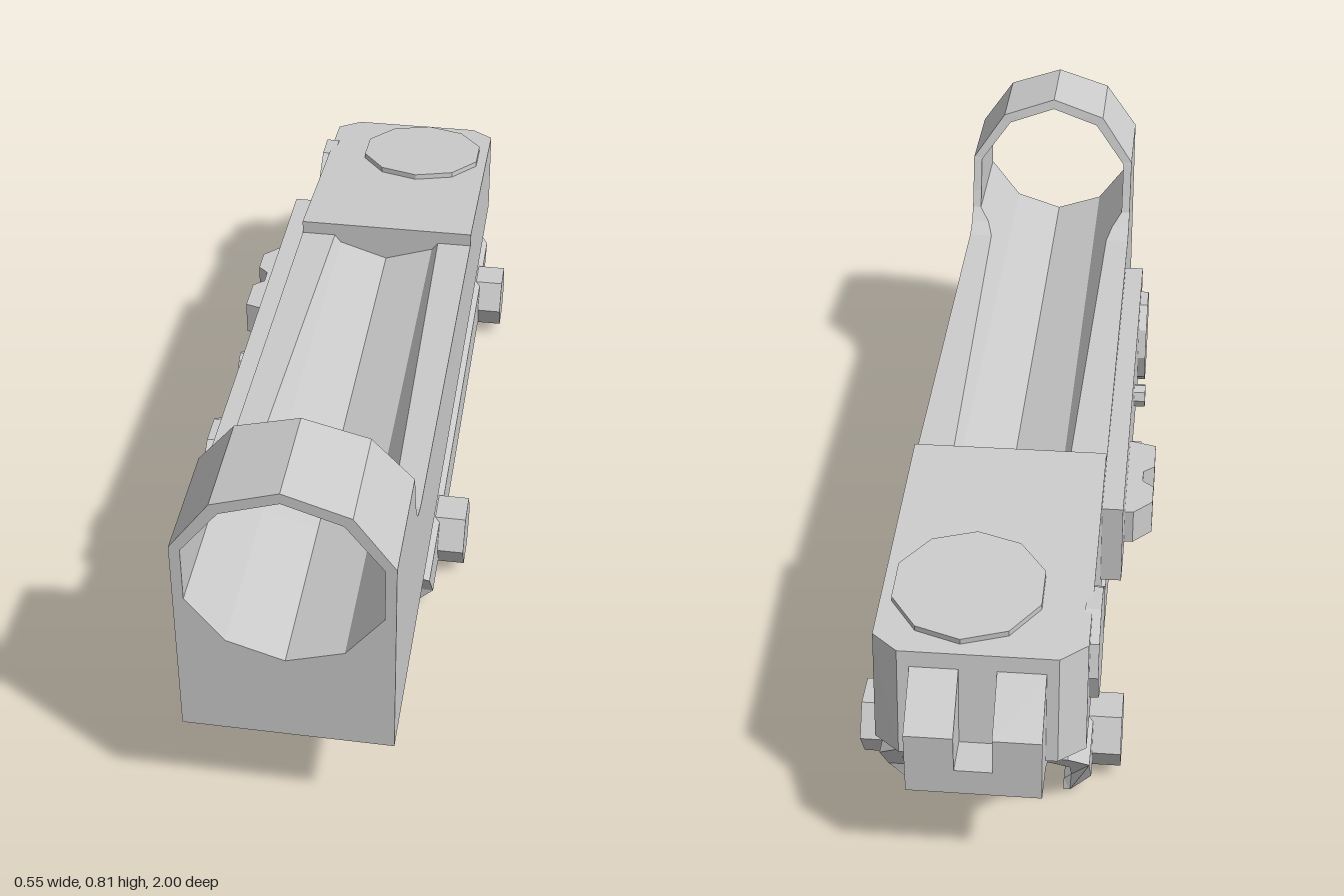
import * as THREE from 'three';

const CX = 0.0175; // the body's plane of symmetry
const mat = new THREE.MeshStandardMaterial({ color: 0xcccccc, flatShading: true });

const toShape = (pts) => new THREE.Shape(pts.map(([x, y]) => new THREE.Vector2(x, y)));
const extrude = (pts, depth) => new THREE.ExtrudeGeometry(toShape(pts), { depth, bevelEnabled: false });

// Side profile of [z, y] points, filling x0..x1
const extrudeX = (pts, x0, x1) => extrude(pts, x1 - x0).rotateY(-Math.PI / 2).translate(x1, 0, 0);

// Moves every vertex by a rule
function reshape(geo, rule) {
  const p = geo.attributes.position, v = new THREE.Vector3();
  for (let i = 0; i < p.count; i++) {
    v.fromBufferAttribute(p, i);
    rule(v);
    p.setXYZ(i, v.x, v.y, v.z);
  }
  geo.computeVertexNormals();
  return geo;
}

// Half section of the housing: outer wall going up, then the ten-sided bore going down
const OUTER = [[0, 0.235], [0.1975, 0.235], [0.1975, 0.67], [0.1225, 0.775], [0, 0.815]];
const BORE = [[0, 0.793], [0.1075, 0.757], [0.1775, 0.665], [0.1775, 0.552], [0.1075, 0.46], [0, 0.425]];
// Stations along the housing: [z, height at which the section is cut]
const CUTS = [[1, 0.815], [0.797, 0.815], [0.7915, 0.793], [0.787, 0.775], [0.783, 0.757], [0.761, 0.67],
  [0.759, 0.665], [0.735, 0.59], [0.72, 0.552], [0.695, 0.524], [0.65, 0.508], [-0.312, 0.478]];

// Slides points above h down along their rising chain
function clip(chain, h) {
  return chain.map(([x, y]) => {
    if (y <= h) return [x, y];
    for (let i = 1; i < chain.length; i++) {
      const [x0, y0] = chain[i - 1], [x1, y1] = chain[i];
      if (y0 <= h && y1 > h) return [x0 + (x1 - x0) * (h - y0) / (y1 - y0), h];
    }
    return [x, h];
  });
}

function housingGeometry() {
  const loops = CUTS.map(([z, h]) =>
    [...clip(OUTER, h), ...clip([...BORE].reverse(), h).reverse()].map(([x, y]) => [x, y, z]));
  const pos = [];
  for (const s of [1, -1]) {
    const tri = (a, b, c) => {
      for (const [x, y, z] of s > 0 ? [a, b, c] : [a, c, b]) pos.push(CX + s * x, y, z);
    };
    for (let j = 0; j + 1 < loops.length; j++) {
      const a = loops[j], b = loops[j + 1];
      for (let i = 0; i + 1 < a.length; i++) {
        tri(a[i], b[i], b[i + 1]);
        tri(a[i], b[i + 1], a[i + 1]);
      }
    }
    // Front face
    const flat = loops[0].map(([x, y]) => new THREE.Vector2(x, y));
    for (const [a, b, c] of THREE.ShapeUtils.triangulateShape(flat, [])) tri(loops[0][a], loops[0][b], loops[0][c]);
  }
  const geo = new THREE.BufferGeometry();
  geo.setAttribute('position', new THREE.Float32BufferAttribute(pos, 3));
  geo.computeVertexNormals();
  return geo;
}

export function createModel() {
  const model = new THREE.Group();
  const add = (name, geo, x = 0, y = 0, z = 0, parent = model) => {
    const mesh = new THREE.Mesh(geo, mat);
    mesh.name = name;
    mesh.position.set(x, y, z);
    parent.add(mesh);
    return mesh;
  };
  const group = (name) => {
    const g = new THREE.Group();
    g.name = name;
    model.add(g);
    return g;
  };

  // Lens ring and open channel
  add('housing', housingGeometry());

  // Rear block: sloping top, chamfered back corners, raked back
  const w = 0.1975;
  const deckY = (z) => 0.508 - (-0.31 - z) * 0.095;
  const block = extrude([[-w, 0.31], [w, 0.31], [w, 0.86], [w - 0.05, 0.9], [0.05 - w, 0.9], [-w, 0.86]], 1);
  block.rotateX(-Math.PI / 2);
  add('rearBlock', reshape(block, (v) => {
    if (v.y > 0.5) v.y = deckY(v.z);
    else {
      v.y = 0.235;
      if (v.z < -0.5) v.z -= 0.028;
    }
  }), CX);

  // Cap on top of the rear block
  const cap = add('topCap', new THREE.CylinderGeometry(0.147, 0.147, 0.03, 10), 0.0525, deckY(-0.728) - 0.003, -0.728);
  cap.rotation.x = -0.095;

  // Cap under the lens ring
  add('bottomCap', new THREE.CylinderGeometry(0.189, 0.182, 0.035, 10), CX, 0.2215, 0.772);

  // Notched sight at the back
  const sight = group('rearSight');
  const prong = [[-0.87, 0.21], [-0.87, 0.43], [-0.905, 0.42], [-1, 0.34], [-1, 0.21]];
  for (const s of [-1, 1]) {
    const x = CX + s * 0.08;
    add('sightProng', extrudeX(prong, x - 0.045, x + 0.045), 0, 0, 0, sight);
  }
  add('sightBase', new THREE.BoxGeometry(0.08, 0.055, 0.13), CX, 0.2375, -0.935, sight);

  // Control panel on the model's right side
  const panel = group('controlPanel');
  add('panelPlate', extrudeX([[-0.46, 0.3], [0.35, 0.24], [0.53, 0.24], [0.56, 0.26], [0.56, 0.48], [-0.46, 0.475]],
    -0.222, -0.17), 0, 0, 0, panel);
  const disc = (r, len, sides) => new THREE.CylinderGeometry(r, r, len, sides).rotateZ(Math.PI / 2);
  add('batteryCap', disc(0.108, 0.03, 10), -0.225, 0.365, 0.43, panel);
  add('button', disc(0.026, 0.04, 8), -0.227, 0.395, 0.105, panel);
  const lever = extrude([[-0.21, 0.36], [-0.24, 0.36], [-0.278, 0.32], [-0.278, 0.265], [-0.255, 0.245], [-0.255, 0.21],
    [-0.278, 0.19], [-0.278, 0.11], [-0.21, 0.09]].reverse(), 0.075).rotateX(-Math.PI / 2);
  add('switchLever', lever, 0, 0.325, 0, panel);
  add('sideCap', disc(0.108, 0.03, 10), -0.182, 0.365, -0.735);

  // Rail clamp: spacer plus a C-shaped bracket with raked ends
  const clamp = group('railClamp');
  add('spacer', extrudeX([[0.5, 0.18], [0.57, 0.205], [0.57, 0.235], [-0.91, 0.235], [-0.91, 0.205], [-0.87, 0.18]],
    CX - 0.125, CX + 0.125), 0, 0, 0, clamp);
  const half = [[0.1265, 0.149], [0.1625, 0.114], [0.1625, 0.045], [0.1475, 0.028], [0.1475, 0],
    [0.16, 0], [0.2015, 0.04], [0.2015, 0.147], [0.1625, 0.185]];
  const outline = [...half, ...half.map(([x, y]) => [-x, y]).reverse()];
  add('bracket', reshape(extrude(outline, 1), (v) => {
    const rake = Math.max(0, v.y - 0.04) * 0.79;
    v.z = v.z > 0.5 ? 0.385 + rake : -0.755 - rake;
  }), CX, 0, 0, clamp);

  // Hexagonal clamp bolts
  for (const s of [-1, 1]) {
    for (const z of [0.243, -0.675]) {
      add('bolt', disc(0.0728, 0.145, 6), CX + s * 0.185, 0.0935, z, clamp);
    }
  }
  return model;
}
